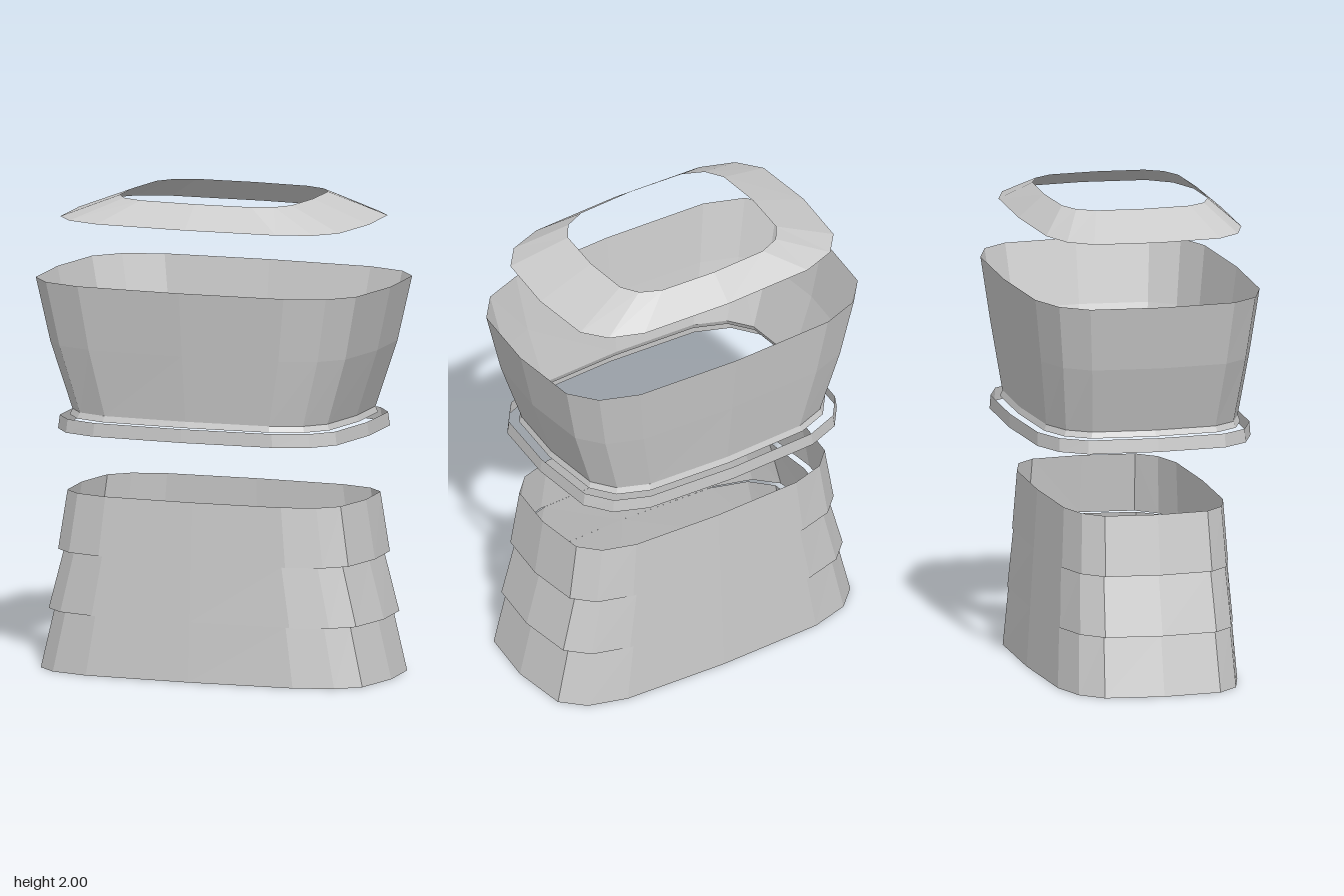
import * as THREE from 'three';

const SIDES = 16;
const material = new THREE.MeshStandardMaterial({
  color: 0xcccccc, flatShading: true, side: THREE.DoubleSide,
});

// Rounded-rectangle outline point: a superellipse with 16 corners
const soften = (v) => (Math.abs(v) < 1e-6 ? 0 : Math.sign(v) * Math.sqrt(Math.abs(v)));

// Open shell lofted upward through rings of [y, halfWidth, halfDepth]
function shell(name, rings) {
  const positions = [];
  const indices = [];
  for (const [y, rx, rz] of rings) {
    for (let i = 0; i < SIDES; i++) {
      const a = (i / SIDES) * Math.PI * 2;
      positions.push(rx * soften(Math.cos(a)), y, rz * soften(Math.sin(a)));
    }
  }
  for (let r = 0; r < rings.length - 1; r++) {
    for (let i = 0; i < SIDES; i++) {
      const a = r * SIDES + i;
      const b = r * SIDES + ((i + 1) % SIDES);
      indices.push(a, a + SIDES, b, b, a + SIDES, b + SIDES);
    }
  }
  const geometry = new THREE.BufferGeometry();
  geometry.setAttribute('position', new THREE.Float32BufferAttribute(positions, 3));
  geometry.setIndex(indices);
  geometry.computeVertexNormals();
  const mesh = new THREE.Mesh(geometry, material);
  mesh.name = name;
  return mesh;
}

export function createModel() {
  const model = new THREE.Group();
  model.name = 'layeredShells';

  // Skirt: three tiers that overlap at the sides and run flush front and back
  const skirt = new THREE.Group();
  skirt.name = 'skirt';
  skirt.add(
    shell('lowerTier', [[0, 0.75, 0.4], [0.25, 0.69, 0.385]]),
    shell('middleTier', [[0.25, 0.717, 0.385], [0.5, 0.65, 0.37]]),
    shell('upperTier', [[0.5, 0.677, 0.37], [0.75, 0.637, 0.355]]),
  );
  model.add(skirt);

  // Loose band around the foot of the bowl
  model.add(shell('rimBand', [[1.018, 0.65, 0.475], [1.075, 0.642, 0.472]]));

  // Flared bowl with a small lip at its foot
  model.add(shell('bowl', [
    [1.075, 0.605, 0.437], [1.1, 0.595, 0.427], [1.38, 0.688, 0.465], [1.65, 0.747, 0.5],
  ]));

  // Sloping collar with an open middle
  model.add(shell('topCollar', [[1.905, 0.65, 0.435], [2, 0.4, 0.325]]));

  return model;
}
